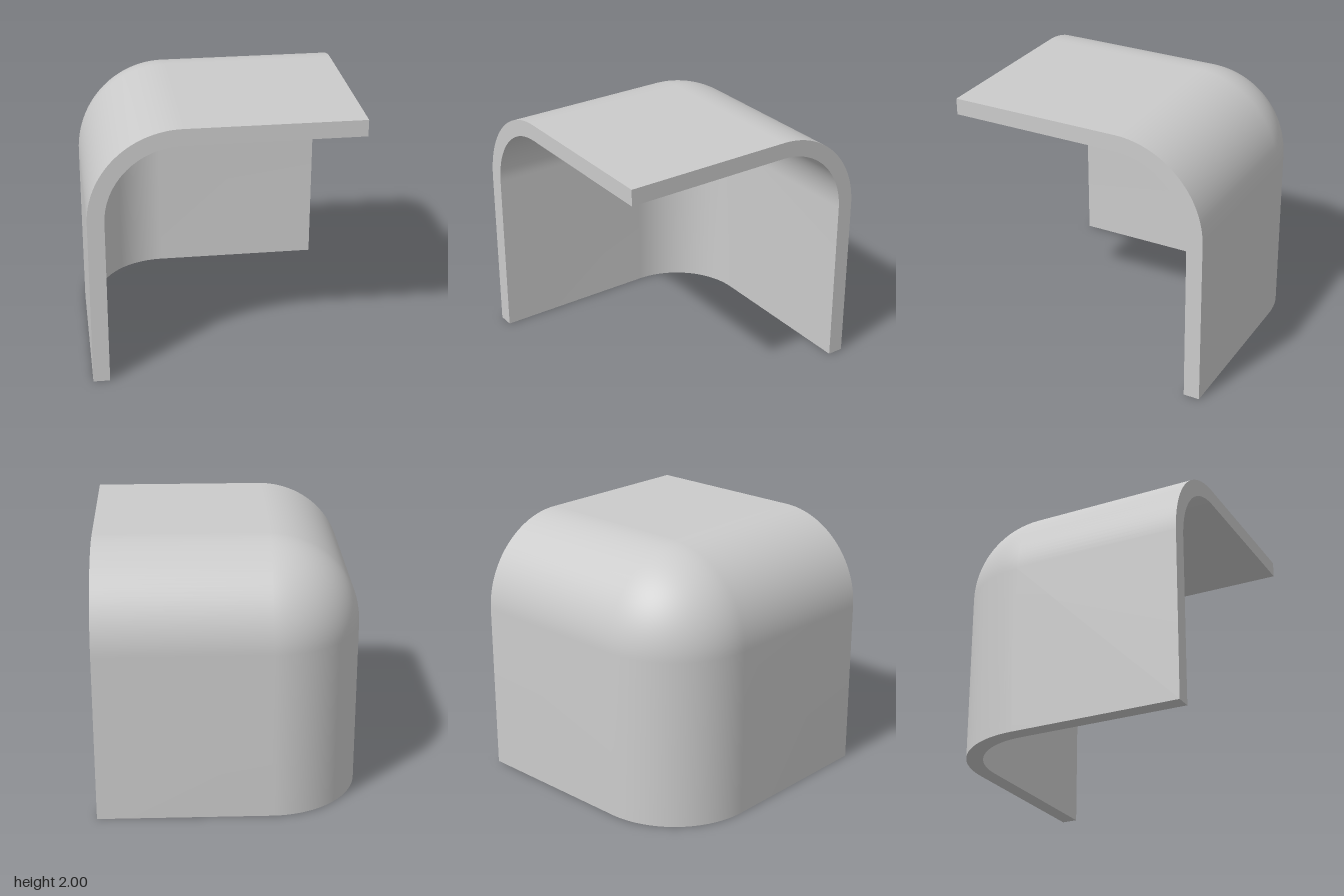
import * as THREE from 'three';
import { mergeGeometries, toCreasedNormals } from 'three/addons/utils/BufferGeometryUtils.js';

const T = 0.125;          // shell thickness
const R = 0.69;           // outer rounding radius
const C = 1 - R;          // the rounding centre lies at (-C, 1 + C, -C)
const FLAT = 1 + C;       // length of each flat beyond the rounding
const N = 32;             // segments per quarter turn

// Quarter arc in the wall section: [distance outward from rounding axis, height]
function arc(r) {
  return Array.from({ length: N + 1 }, (_, k) => {
    const a = (k / N) * Math.PI / 2;
    return [k === N ? 0 : r * Math.cos(a), FLAT + r * Math.sin(a)];
  });
}
const outer = [[R, 0], ...arc(R)];
const inner = [...arc(R - T).reverse(), [R - T, 0]];

// Wall section swept along one wall, round the vertical corner, along the other wall
function sweptWalls() {
  const stations = [{ x: -C, z: 1, a: 0 }];
  for (let k = 0; k <= N; k++) stations.push({ x: -C, z: -C, a: (k / N) * Math.PI / 2 });
  stations.push({ x: 1, z: -C, a: Math.PI / 2 });

  const at = (s, [d, y]) => new THREE.Vector3(s.x - d * Math.cos(s.a), y, s.z - d * Math.sin(s.a));
  const positions = [];
  const triangle = (a, b, c) => {
    const area = b.clone().sub(a).cross(c.clone().sub(a)).length();
    if (area > 1e-9) for (const p of [a, b, c]) positions.push(p.x, p.y, p.z);
  };
  const bottomRim = [[R - T, 0], [R, 0]];
  for (const run of [bottomRim, outer, inner]) {
    for (let i = 0; i < stations.length - 1; i++) {
      for (let j = 0; j < run.length - 1; j++) {
        const a = at(stations[i], run[j]), b = at(stations[i], run[j + 1]);
        const c = at(stations[i + 1], run[j + 1]), d = at(stations[i + 1], run[j]);
        triangle(a, b, c);
        triangle(a, c, d);
      }
    }
  }
  const g = new THREE.BufferGeometry();
  g.setAttribute('position', new THREE.Float32BufferAttribute(positions, 3));
  return g;
}

// Flat cut face: wall section plus the edge of the top plate
function cutFace(sign) {
  const section = [...outer, [-FLAT, 2], [-FLAT, 2 - T], ...inner];
  return new THREE.ShapeGeometry(new THREE.Shape(section.map(([d, y]) => new THREE.Vector2(sign * d, y))));
}

// Upper or lower face of the flat top plate
function plateFace(y, turn) {
  return new THREE.PlaneGeometry(FLAT, FLAT).rotateX(turn).translate((1 - C) / 2, y, (1 - C) / 2);
}

export function createModel() {
  const pieces = [
    sweptWalls(),
    cutFace(-1).translate(-C, 0, 1),
    cutFace(1).rotateY(Math.PI / 2).translate(1, 0, -C),
    plateFace(2, -Math.PI / 2),
    plateFace(2 - T, Math.PI / 2),
  ].map((g) => {
    const flat = g.index ? g.toNonIndexed() : g;
    flat.deleteAttribute('uv');
    flat.deleteAttribute('normal');
    return flat;
  });

  const shell = new THREE.Mesh(
    toCreasedNormals(mergeGeometries(pieces), 0.6),
    new THREE.MeshStandardMaterial({ color: 0xcccccc }),
  );
  shell.name = 'cornerShell';

  const group = new THREE.Group();
  group.name = 'roundedCorner';
  group.add(shell);
  return group;
}
